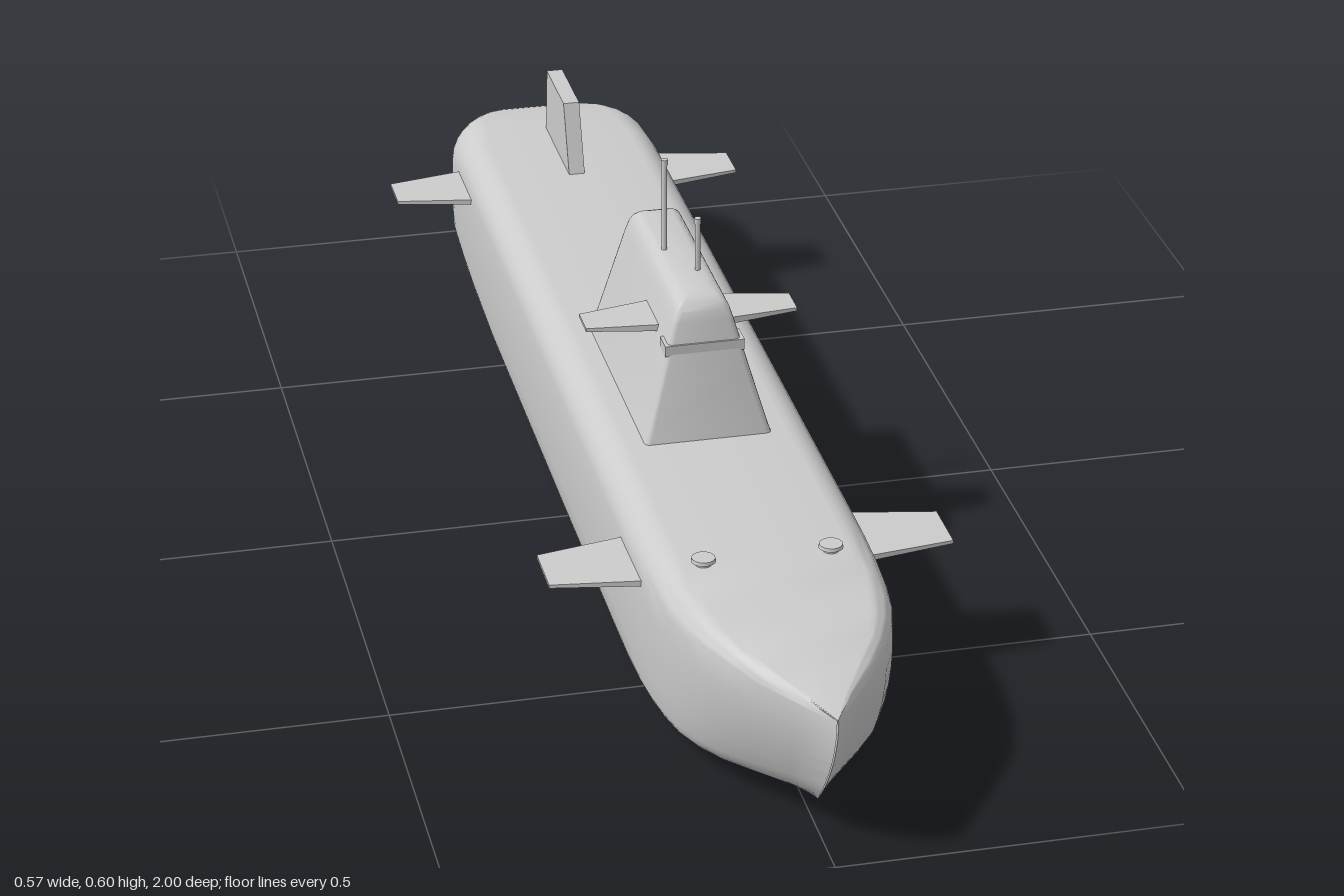
import * as THREE from 'three';
import { toCreasedNormals } from 'three/addons/utils/BufferGeometryUtils.js';

const grey = new THREE.MeshStandardMaterial({ color: 0xcccccc });

function add(parent, name, geometry, x = 0, y = 0, z = 0) {
  const mesh = new THREE.Mesh(geometry, grey);
  mesh.name = name;
  mesh.position.set(x, y, z);
  parent.add(mesh);
  return mesh;
}

// Skins a list of closed rings and caps both ends.
function loft(rings, crease) {
  const n = rings[0].length;
  const pos = rings.flat(2);
  const index = [];
  for (let r = 0; r < rings.length - 1; r++) {
    for (let i = 0; i < n; i++) {
      const a = r * n + i, b = r * n + (i + 1) % n;
      index.push(a, b, b + n, a, b + n, a + n);
    }
  }
  const last = (rings.length - 1) * n;
  for (let i = 1; i < n - 1; i++) {
    index.push(0, i + 1, i, last, last + i, last + i + 1);
  }
  const g = new THREE.BufferGeometry();
  g.setAttribute('position', new THREE.Float32BufferAttribute(pos, 3));
  g.setIndex(index);
  return toCreasedNormals(g, crease);
}

// Hull cross-section: flat deck and keel, rounded corners, gently bowed sides.
function hullRing(z, w, top, bottom, rTop, rBottom, zAt) {
  const half = [];
  const corner = (cy, r, from) => {
    const rx = Math.min(r, w * 0.9);
    for (let i = 0; i <= 7; i++) {
      const a = from + (i / 7) * Math.PI / 2;
      half.push([w - rx + rx * Math.cos(a), cy + r * Math.sin(a)]);
    }
  };
  corner(bottom + rBottom, rBottom, -Math.PI / 2);
  const y0 = bottom + rBottom, y1 = top - rTop;
  for (let i = 1; i < 5; i++) half.push([w, y0 + (y1 - y0) * i / 5]);
  corner(y1, rTop, 0);
  const bowed = half.map(([x, y]) => [x * (1 - 0.05 * ((y - 0.14) / 0.13) ** 2), y]);
  const mirrored = bowed.map(([x, y]) => [-x, y]).reverse();
  return [[0, bottom], ...bowed, [0, top], ...mirrored].map(([x, y]) => [x, y, zAt ? zAt(z, y) : z]);
}

function hullGeometry() {
  const rings = [];
  // Rounded stern
  for (let i = 0; i <= 14; i++) {
    const a = (1 - i / 14) * Math.PI / 2;
    const c = Math.max(Math.cos(a), 0.008);
    const top = 0.19 + 0.062 * c, bottom = 0.12 - 0.095 * c;
    const r = Math.min(0.055, (top - bottom) * 0.42);
    rings.push(hullRing(-0.84 - 0.16 * Math.sin(a), 0.163 * c, top, bottom, r, r));
  }
  // Parallel middle body
  for (const [z, bottom, r] of [[-0.78, 0.017, 0.047], [-0.7, 0.01, 0.04], [-0.55, 0.003, 0.032], [0, 0, 0.028], [0.35, 0, 0.028]]) {
    rings.push(hullRing(z, 0.163, 0.252, bottom, 0.045, r));
  }
  // Wedge bow with a raked stem
  const z0 = 0.45;
  const rake = (z, y) => {
    const stem = 1 - 0.1 * (Math.max(0, 0.21 - y) / 0.17) ** 1.6;
    return z0 + (z - z0) * (stem - z0) / (1 - z0);
  };
  const bow = [
    [0.45, 0.163, 0.252, 0.002], [0.55, 0.162, 0.252, 0.005], [0.62, 0.159, 0.252, 0.008],
    [0.68, 0.154, 0.252, 0.011], [0.74, 0.145, 0.252, 0.014], [0.79, 0.131, 0.25, 0.018],
    [0.84, 0.109, 0.246, 0.022], [0.89, 0.078, 0.239, 0.027], [0.95, 0.036, 0.23, 0.036],
    [1, 0.001, 0.222, 0.048],
  ];
  for (const [z, w, top, bottom] of bow) {
    const t = (z - z0) / (1 - z0);
    rings.push(hullRing(z, w, top, bottom, 0.045 - 0.04 * t * t, 0.028 + 0.02 * t, rake));
  }
  return loft(rings, 0.65);
}

// Sail: tapering block with small corner radii and a rounded top.
function sailGeometry() {
  const levels = [
    [0.235, 0.097, 0.278, -0.113], [0.262, 0.088, 0.272, -0.108], [0.34, 0.066, 0.256, -0.097],
    [0.42, 0.044, 0.241, -0.084], [0.436, 0.039, 0.237, -0.08], [0.446, 0.034, 0.231, -0.075],
    [0.452, 0.028, 0.224, -0.068], [0.455, 0.02, 0.215, -0.06],
  ];
  const rings = levels.map(([y, w, front, back]) => {
    const r = 0.008, ring = [];
    const centres = [[w - r, front - r], [w - r, back + r], [-w + r, back + r], [-w + r, front - r]];
    centres.forEach(([cx, cz], k) => {
      for (let i = 0; i <= 3; i++) {
        const a = Math.PI / 2 * (1 - k - i / 3);
        ring.push([cx + r * Math.cos(a), y, cz + r * Math.sin(a)]);
      }
    });
    return ring;
  });
  return loft(rings, 0.7);
}

// Flat tapered fin growing along +x; root and tip are [x, zBack, zFront, thickness].
function finGeometry(root, tip) {
  return loft([root, tip].map(([x, back, front, t]) => [
    [x, t / 2, back], [x, t / 2, front], [x, -t / 2, front], [x, -t / 2, back],
  ]), 0.2);
}

function addPlanes(parent, name, y, root, tip) {
  const geometry = finGeometry(root, tip);
  add(parent, 'left' + name, geometry, 0, y);
  add(parent, 'right' + name, geometry, 0, y).rotation.z = Math.PI;
}

export function createModel() {
  const model = new THREE.Group();
  model.name = 'submarine';

  add(model, 'hull', hullGeometry());
  add(model, 'sail', sailGeometry());
  // Bridge window ledge at the front of the sail
  add(model, 'bridgeLedge', new THREE.BoxGeometry(0.114, 0.016, 0.034), 0, 0.383, 0.232);

  // Diving planes and rudder
  addPlanes(model, 'SailPlane', 0.388, [0.035, 0.1, 0.185, 0.011], [0.153, 0.12, 0.168, 0.005]);
  addPlanes(model, 'BowPlane', 0.197, [0.14, 0.43, 0.562, 0.009], [0.283, 0.455, 0.54, 0.005]);
  addPlanes(model, 'SternPlane', 0.197, [0.14, -0.803, -0.685, 0.009], [0.275, -0.78, -0.712, 0.005]);
  const rudder = finGeometry([0.235, -0.828, -0.634, 0.025], [0.357, -0.813, -0.68, 0.025]);
  add(model, 'rudder', rudder).rotation.z = Math.PI / 2;

  // Masts with slightly wider heads
  for (const [name, x, z, top] of [['periscope', -0.018, 0.07, 0.595], ['antennaMast', 0.013, 0.145, 0.535]]) {
    const height = top - 0.44;
    add(model, name, new THREE.CylinderGeometry(0.004, 0.004, height, 12), x, 0.44 + height / 2, z);
    add(model, name + 'Head', new THREE.CylinderGeometry(0.005, 0.005, 0.008, 12), x, top - 0.004, z);
  }

  // Mooring bollards on the foredeck
  for (const side of [-1, 1]) {
    const bollard = new THREE.Group();
    bollard.name = side > 0 ? 'leftBollard' : 'rightBollard';
    bollard.position.set(side * 0.088, 0.248, 0.62);
    add(bollard, 'post', new THREE.CylinderGeometry(0.011, 0.011, 0.012, 20), 0, 0.004);
    add(bollard, 'cap', new THREE.CylinderGeometry(0.016, 0.017, 0.005, 20), 0, 0.012);
    model.add(bollard);
  }
  return model;
}
